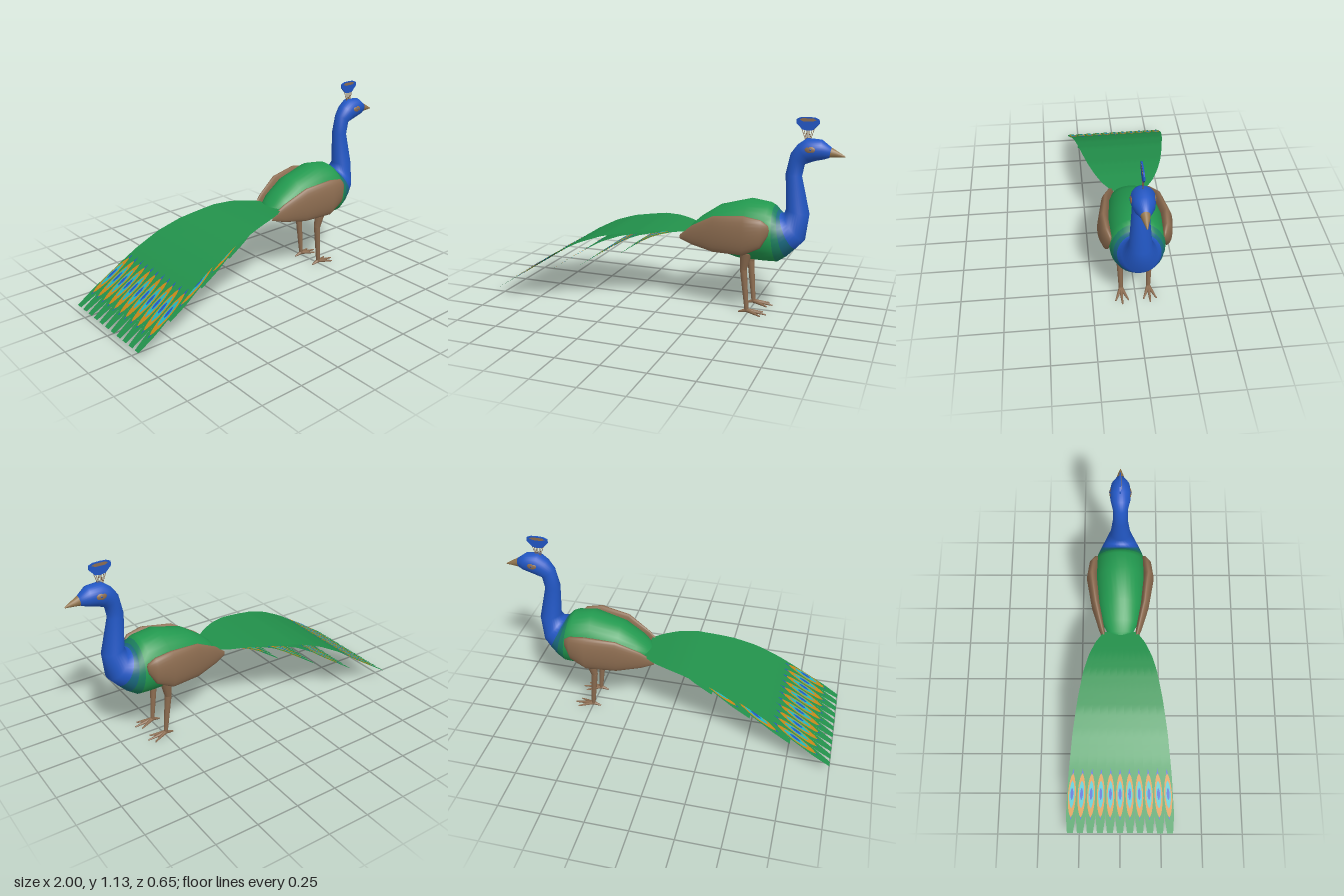
import * as THREE from 'three';
import { mergeGeometries } from 'three/addons/utils/BufferGeometryUtils.js';

const mat = (name, color, side = THREE.FrontSide) => {
  const m = new THREE.MeshStandardMaterial({ color, side });
  m.name = name;
  return m;
};

// Skin over elliptical rings [topX, topY, bottomX, bottomY, halfWidth, material, centreZ]
function loft(rings, n = 24) {
  const pos = [], idx = [], g = new THREE.BufferGeometry();
  for (const [tx, ty, bx, by, w, , cz = 0] of rings) {
    for (let i = 0; i < n; i++) {
      const a = (i / n) * Math.PI * 2, c = Math.cos(a) / 2;
      pos.push((tx + bx) / 2 + (tx - bx) * c, (ty + by) / 2 + (ty - by) * c, cz + w * Math.sin(a));
    }
  }
  for (let j = 0; j < rings.length - 1; j++) {
    g.addGroup(idx.length, n * 6, rings[j][5] || 0);
    for (let i = 0; i < n; i++) {
      const a = j * n + i, b = j * n + ((i + 1) % n);
      idx.push(a, b, a + n, b, b + n, a + n);
    }
  }
  g.setAttribute('position', new THREE.Float32BufferAttribute(pos, 3));
  g.setIndex(idx);
  g.computeVertexNormals();
  return g;
}

// Tapered rod between two points
function rod(p, q, r1, r2, sides = 10) {
  const a = new THREE.Vector3(...p), d = new THREE.Vector3(...q).sub(a);
  const g = new THREE.CylinderGeometry(r2, r1, d.length(), sides);
  g.applyQuaternion(new THREE.Quaternion().setFromUnitVectors(new THREE.Vector3(0, 1, 0), d.clone().normalize()));
  return g.translate(a.x + d.x / 2, a.y + d.y / 2, a.z + d.z / 2);
}

// Linear lookup in a list of [t, value]
function lookup(list, t) {
  let k = 1;
  while (k < list.length - 1 && t > list[k][0]) k++;
  const [t0, v0] = list[k - 1], [t1, v1] = list[k];
  return v0 + ((v1 - v0) * (t - t0)) / (t1 - t0);
}

const TRAIN_DROP = [[0, 0], [0.13, -0.01], [0.22, -0.005], [0.3, 0.012], [0.42, 0.04], [0.54, 0.088], [0.66, 0.16], [0.774, 0.245], [1, 0.415]];
const TRAIN_WIDTH = [[0, 0.1], [0.06, 0.15], [0.13, 0.188], [0.22, 0.22], [0.35, 0.25], [0.52, 0.28], [0.74, 0.31], [1, 0.335]];

// Ribbon lying on one feather; shape(u) gives its share of the feather width
function ribbon(layer, i, xA, xB, shape, lift, steps) {
  const pos = [], idx = [], g = new THREE.BufferGeometry();
  for (let k = 0; k <= steps; k++) {
    const u = k / steps, x = xA + (xB - xA) * u;
    const t = (0.15 - x) / (0.15 - layer.end);
    const half = (lookup(TRAIN_WIDTH, t) * layer.width) / layer.count;
    const z = (2 * i - layer.count + 1) * half;
    const y = 0.465 - layer.sink - lookup(TRAIN_DROP, t) * layer.drop / 0.415 + lift;
    const w = half * shape(u);
    pos.push(x, y, z - w, x, y, z + w);
    if (k) idx.push(2 * k - 2, 2 * k, 2 * k - 1, 2 * k - 1, 2 * k, 2 * k + 1);
  }
  g.setAttribute('position', new THREE.Float32BufferAttribute(pos, 3));
  g.setIndex(idx);
  g.computeVertexNormals();
  return g;
}

export function createModel() {
  const green = mat('body green', 0x22994f), blue = mat('neck blue', 0x2257c4);
  const teal = mat('breast teal', 0x1c8060), deepTeal = mat('breast blue teal', 0x1b6a80);
  const brown = mat('wing brown', 0x8c6c50), horn = mat('beak horn', 0x95774f);
  const featherGreen = mat('train green', 0x22914b, THREE.DoubleSide);
  const orange = mat('eyespot orange', 0xc98618, THREE.DoubleSide);
  const cyan = mat('eyespot cyan', 0x22b5bd, THREE.DoubleSide);
  const spotBlue = mat('eyespot blue', 0x2450c0, THREE.DoubleSide);

  const model = new THREE.Group();
  model.name = 'peafowl';
  const add = (name, geometry, material, parent = model) => {
    const m = new THREE.Mesh(geometry, material);
    m.name = name;
    parent.add(m);
    return m;
  };

  // Body, neck and head as one skin, coloured in bands
  add('bodyNeckAndHead', loft([
    [0.125, 0.46, 0.125, 0.45, 0.02, 0],
    [0.145, 0.485, 0.15, 0.41, 0.075, 0],
    [0.2, 0.535, 0.2, 0.38, 0.105, 0],
    [0.31, 0.61, 0.3, 0.34, 0.135, 0],
    [0.49, 0.66, 0.43, 0.31, 0.155, 0],
    [0.6, 0.645, 0.58, 0.307, 0.154, 0],
    [0.625, 0.63, 0.655, 0.31, 0.148, 1],
    [0.645, 0.605, 0.705, 0.345, 0.135, 2],
    [0.66, 0.59, 0.755, 0.395, 0.118, 3],
    [0.68, 0.59, 0.8, 0.445, 0.096, 3],
    [0.69, 0.62, 0.82, 0.595, 0.06, 3],
    [0.68, 0.82, 0.77, 0.805, 0.044, 3],
    [0.703, 0.93, 0.783, 0.875, 0.044, 3],
    [0.74, 0.982, 0.82, 0.89, 0.057, 3],
    [0.79, 1.02, 0.85, 0.9, 0.063, 3],
    [0.87, 1.015, 0.885, 0.908, 0.052, 3],
    [0.925, 0.975, 0.915, 0.918, 0.026, 3],
    [0.926, 0.948, 0.926, 0.946, 0.001, 3],
  ], 32), [green, teal, deepTeal, blue]);

  // Beak
  add('beak', loft([
    [0.905, 0.986, 0.9, 0.918, 0.028],
    [0.95, 0.961, 0.945, 0.922, 0.018],
    [1, 0.931, 0.999, 0.925, 0.002],
  ], 16), horn);

  // Crest: thin stems under a flat fan
  const stems = [];
  for (let i = -3; i <= 3; i++) stems.push(rod([0.795 + i * 0.004, 1.005, 0], [0.792 + i * 0.012, 1.075, 0], 0.0018, 0.0018, 6));
  add('crestStems', mergeGeometries(stems), brown);
  const plate = (points, depth) => new THREE.ExtrudeGeometry(
    new THREE.Shape(points.map(p => new THREE.Vector2(...p))), { depth, bevelEnabled: false }).translate(0, 0, -depth / 2);
  add('crestFan', plate([[0.762, 1.065], [0.792, 1.06], [0.822, 1.065], [0.854, 1.1], [0.852, 1.122],
    [0.828, 1.132], [0.79, 1.134], [0.752, 1.132], [0.73, 1.122], [0.728, 1.1]], 0.008), blue);
  add('crestPatch', plate([[0.745, 1.118], [0.765, 1.11], [0.815, 1.11], [0.838, 1.118], [0.82, 1.127], [0.76, 1.127]], 0.0096), brown);

  for (const s of [1, -1]) {
    const side = new THREE.Group();
    side.name = s > 0 ? 'leftSide' : 'rightSide';
    model.add(side);

    // Patch around the eye
    add('eyePatch', new THREE.SphereGeometry(1, 16, 10).scale(0.032, 0.022, 0.012).translate(0.818, 0.962, s * 0.052), brown, side);
    add('eye', new THREE.SphereGeometry(0.006, 10, 8).translate(0.82, 0.965, s * 0.06), blue, side);

    // Folded wing: [x, y, half height, z, half thickness]
    const wing = [[0.092, 0.42, 0.012, 0.088, 0.005], [0.17, 0.443, 0.056, 0.112, 0.017], [0.31, 0.472, 0.105, 0.148, 0.027],
      [0.49, 0.485, 0.113, 0.172, 0.035], [0.585, 0.5, 0.08, 0.163, 0.029], [0.622, 0.518, 0.03, 0.148, 0.014], [0.628, 0.52, 0.002, 0.145, 0.001]];
    add('wing', loft(wing.map(([x, y, h, z, w]) => [x, y + h, x, y - h, w, 0, s * z])), brown, side);

    // Leg and toes
    const foot = [0.497, 0.018, s * 0.08], knee = [0.474, 0.265, s * 0.085];
    add('leg', mergeGeometries([
      rod([0.49, 0.37, s * 0.092], knee, 0.034, 0.02, 14),
      new THREE.SphereGeometry(0.02, 12, 8).translate(...knee),
      rod(knee, foot, 0.02, 0.012, 14),
    ]), brown, side);
    const toes = [[0.585, -0.037], [0.612, 0], [0.585, 0.037], [0.448, 0]]
      .map(([x, z]) => rod(foot, [x, 0.004, s * 0.08 + z], 0.012, 0.004, 8));
    add('toes', mergeGeometries([...toes, new THREE.SphereGeometry(0.013, 10, 8).translate(...foot)]), brown, side);
  }

  // Train: four layers of feathers, each feather with an eyespot on both faces
  const layers = [
    { end: -1, drop: 0.415, count: 11, width: 1, sink: 0 },
    { end: -0.76, drop: 0.34, count: 9, width: 0.82, sink: 0.008 },
    { end: -0.51, drop: 0.245, count: 7, width: 0.64, sink: 0.014 },
    { end: -0.27, drop: 0.155, count: 5, width: 0.46, sink: 0.02 },
  ];
  // Eyespot rings: [material, start and end from the tip, width share, lift]
  const spots = [[spotBlue, 0.07, 0.35, 0.4, 0.002], [orange, 0.085, 0.325, 0.82, 0.0035],
    [cyan, 0.135, 0.285, 0.56, 0.005], [spotBlue, 0.18, 0.245, 0.3, 0.0065]];
  const lens = w => u => w * Math.pow(Math.max(0, Math.sin(u * Math.PI)), 0.6);
  layers.forEach((layer, n) => {
    const train = new THREE.Group();
    train.name = 'trainLayer' + (n + 1);
    model.add(train);
    const feathers = [], rings = spots.map(() => []);
    const length = 0.15 - layer.end;
    const taper = u => 1 - 0.4 * Math.max(0, (u * length - length + 0.1) / 0.1);
    for (let i = 0; i < layer.count; i++) {
      feathers.push(ribbon(layer, i, 0.15, layer.end, taper, 0, 36));
      spots.forEach(([, a, b, w, lift], k) => {
        for (const s of [1, -1]) rings[k].push(ribbon(layer, i, layer.end + b, layer.end + a, lens(w), s * lift, 14));
      });
    }
    add('feathers', mergeGeometries(feathers), featherGreen, train);
    rings.forEach((r, k) => add('eyespotRing' + (k + 1), mergeGeometries(r), spots[k][0], train));
  });

  return model;
}
